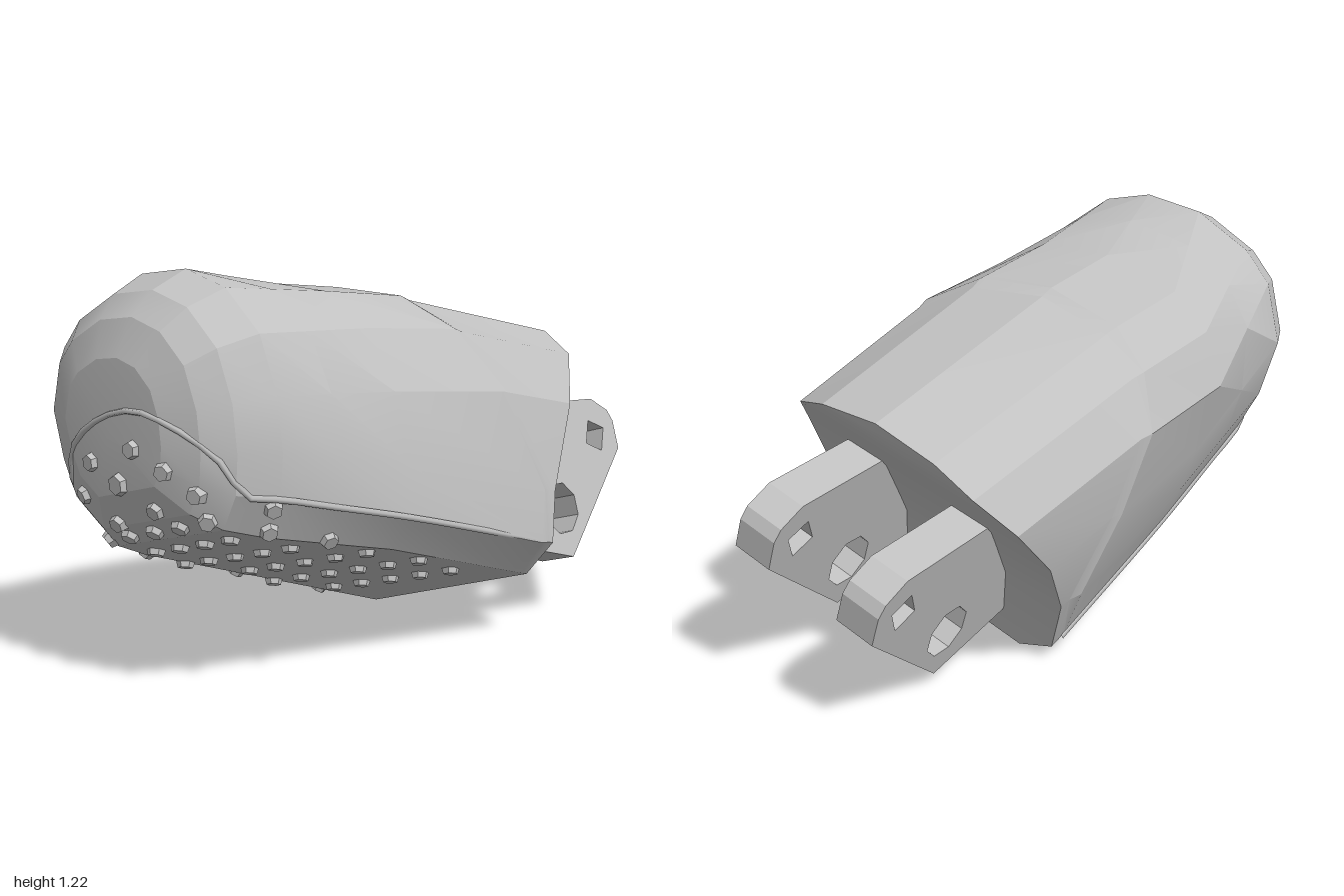
import * as THREE from 'three';
import { toCreasedNormals } from 'three/addons/utils/BufferGeometryUtils.js';

const ROLL = 0.29; // the whole joint leans about its long axis

// Cross-sections (x, y pairs) counter-clockwise from the lower right corner:
// right side, crown, left side, lower left corner, pad bottom.
const HEEL = [.56, .33, .53, .5, .46, .8, .33, .98, .15, 1.06, -.1, 1.07, -.33, 1, -.45, .9, -.53, .75, -.5, .52, -.42, .27, -.33, .05, -.19, 0, .47, .21];
const MIDDLE = [.49, .49, .47, .65, .42, .86, .31, 1.04, .13, 1.14, -.12, 1.15, -.38, 1.08, -.5, .97, -.56, .8, -.48, .55, -.43, .4, -.36, .26, -.2, .19, .41, .38];
const FRONT = [.4, .6, .41, .73, .39, .89, .32, 1.06, .18, 1.18, .01, 1.225, -.19, 1.2, -.38, 1.1, -.47, 1, -.52, .8, -.46, .6, -.38, .45, -.2, .34, .34, .48];
const N = 14;

// The tip sections shrink the front one about the tip; the rear one tapers and drops
const TIP = new THREE.Vector3(-0.05, 0.77, 1);
const shrink = (s) => FRONT.map((v, i) => (i % 2 ? TIP.y + (v - TIP.y) * s : TIP.x + (v - TIP.x) * s));
const SECTIONS = [
  { z: -0.8, p: HEEL.map((v, i) => (i % 2 ? v - 0.13 : v * 0.9)) },
  { z: -0.27, p: HEEL },
  { z: 0.3, p: MIDDLE },
  { z: 0.75, p: FRONT },
  { z: 0.87, p: shrink(0.88) },
  { z: 0.94, p: shrink(0.72) },
  { z: 0.985, p: shrink(0.47) },
];

// Rear cut: depth as a function of leaning height
const CUT = [[0, -.26], [.15, -.29], [.37, -.36], [.53, -.46], [.7, -.6], [.85, -.76], [.95, -.81], [1.1, -.82]];

function cut(v) {
  if (v <= CUT[0][0]) return CUT[0][1];
  for (let i = 1; i < CUT.length; i++) {
    const [a, p] = CUT[i - 1], [b, q] = CUT[i];
    if (v <= b) return p + (q - p) * (v - a) / (b - a);
  }
  return CUT[CUT.length - 1][1];
}

// Shallow step that crosses the crown at a slant
const seam = (v) => Math.max(-0.05 - 0.36 * (1.1 - v), cut(v) + 0.03);

// Point j of the outline at depth z, optionally pushed outward
function outline(j, z, swell = 0) {
  let i = 1;
  while (i < SECTIONS.length - 1 && z > SECTIONS[i].z) i++;
  const a = SECTIONS[i - 1], b = SECTIONS[i];
  const t = THREE.MathUtils.clamp((z - a.z) / (b.z - a.z), 0, 1);
  const x = THREE.MathUtils.lerp(a.p[2 * j], b.p[2 * j], t);
  const y = THREE.MathUtils.lerp(a.p[2 * j + 1], b.p[2 * j + 1], t);
  const out = new THREE.Vector2(x, y - 0.6).normalize().multiplyScalar(swell);
  return new THREE.Vector3(x + out.x, y + out.y, z);
}

// Point j on a slanted ring whose depth follows a rule of leaning height
function slanted(j, rule, swell = 0) {
  let z = -0.4;
  for (let k = 0; k < 25; k++) {
    const p = outline(j, z);
    z = rule(p.y - 0.25 * p.x);
  }
  return outline(j, z, swell);
}

function bodyGeometry() {
  const rings = [
    (j) => slanted(j, cut),
    (j) => slanted(j, seam),
    (j) => slanted(j, (v) => seam(v) + 0.04, j < 11 ? 0.012 : 0),
    ...[0.3, 0.55, 0.75, 0.87, 0.94, 0.985].map((z) => (j) => outline(j, z)),
  ];
  const pos = [], index = [];
  for (const ring of rings) for (let j = 0; j < N; j++) pos.push(...ring(j).toArray());
  const quad = (a, b, c, d) => index.push(a, b, c, a, c, d);
  for (let i = 0; i < rings.length - 1; i++) {
    for (let j = 0; j < N; j++) {
      const k = (j + 1) % N;
      quad(i * N + j, i * N + k, (i + 1) * N + k, (i + 1) * N + j);
    }
  }
  // Scooped rear face, in strips from right to left
  for (let k = -1; k < 5; k++) quad((k + N) % N, 11 - k, 10 - k, k + 1);
  // Rounded tip
  const last = (rings.length - 1) * N, tip = pos.length / 3;
  pos.push(...TIP.toArray());
  for (let j = 0; j < N; j++) index.push(last + j, last + (j + 1) % N, tip);
  const g = new THREE.BufferGeometry();
  g.setAttribute('position', new THREE.Float32BufferAttribute(pos, 3));
  g.setIndex(index);
  return toCreasedNormals(g, 0.3);
}

// Hinge plate with a round and a square hole, extruded across the joint
function lugGeometry() {
  const pts = [[.3, .165], [.62, .07], [1, .4], [1, .5], [.98, .54], [.9, .59], [.55, .61], [.3, .61]];
  const shape = new THREE.Shape(pts.map(([x, y]) => new THREE.Vector2(x, y)));
  const hole = (x, y, r, sides, turn) => {
    const ring = [];
    for (let i = 0; i < sides; i++) {
      const a = turn - i * Math.PI * 2 / sides;
      ring.push(new THREE.Vector2(x + r * Math.cos(a), y + r * Math.sin(a)));
    }
    shape.holes.push(new THREE.Path(ring));
  };
  hole(0.61, 0.24, 0.09, 8, Math.PI / 8);
  hole(0.88, 0.46, 0.06, 4, 0.35);
  const g = new THREE.ExtrudeGeometry(shape, { depth: 0.138, bevelEnabled: false });
  return g.rotateY(Math.PI / 2);
}

export function createModel() {
  const model = new THREE.Group();
  model.name = 'fingertipJoint';
  const grey = new THREE.MeshStandardMaterial({ color: 0xc1c1c1 });
  grey.name = 'lightGrey';
  const add = (parent, name, geometry) => {
    const mesh = new THREE.Mesh(geometry, grey);
    mesh.name = name;
    parent.add(mesh);
    return mesh;
  };

  const body = add(model, 'fingertipBody', bodyGeometry());

  // Finds the body surface straight behind a point of the front
  const caster = new THREE.Raycaster();
  const surface = (x, y) => {
    caster.set(new THREE.Vector3(x, y, 3), new THREE.Vector3(0, 0, -1));
    return caster.intersectObject(body)[0];
  };

  // Raised rim round the grip pad: right edge, arc over the tip, left edge
  const depths = [-0.24, 0.3, 0.6, 0.75, 0.84];
  const arc = [[.31, .73], [.17, .82], [.04, .84], [-.1, .8], [-.22, .72], [-.29, .6]];
  const path = [
    ...depths.map((z) => outline(0, z)),
    ...arc.map(([x, y]) => surface(x, y).point),
    ...depths.reverse().map((z) => outline(11, z)),
  ];
  add(model, 'padRim', new THREE.TubeGeometry(new THREE.CatmullRomCurve3(path), 48, 0.01, 5, false));

  // Grip studs: a scatter over the tip and a slanted grid underneath
  const studs = new THREE.Group();
  studs.name = 'gripStuds';
  model.add(studs);
  const spots = [[.05, .73], [-.14, .67], [-.02, .62, .042], [.17, .68], [.26, .62], [-.21, .56], [-.08, .49], [.1, .555]];
  for (let r = 0; r < 6; r++) {
    for (let i = 0; i < 6; i++) {
      const x = -0.21 + 0.115 * i + (r % 2 ? 0.015 : -0.015);
      spots.push([x, 0.1 + 0.27 * (x + 0.2) + 0.063 * r]);
    }
  }
  const up = new THREE.Vector3(0, 1, 0);
  const studGeometry = toCreasedNormals(new THREE.CylinderGeometry(0.7, 1, 1.5, 6), 0.3);
  for (const [x, y, radius = 0.034] of spots) {
    const hit = surface(x, y);
    if (!hit) continue;
    const stud = add(studs, 'gripStud', studGeometry);
    stud.position.copy(hit.point);
    stud.quaternion.setFromUnitVectors(up, hit.face.normal);
    stud.scale.set(radius, 0.024, radius);
  }

  // Pair of hinge lugs, leaning with the joint
  const lugs = new THREE.Group();
  lugs.name = 'hingeLugs';
  lugs.rotation.z = ROLL;
  model.add(lugs);
  const lug = lugGeometry();
  add(lugs, 'leftHingeLug', lug).position.x = 0.305;
  add(lugs, 'rightHingeLug', lug).position.x = -0.105;

  return model;
}
